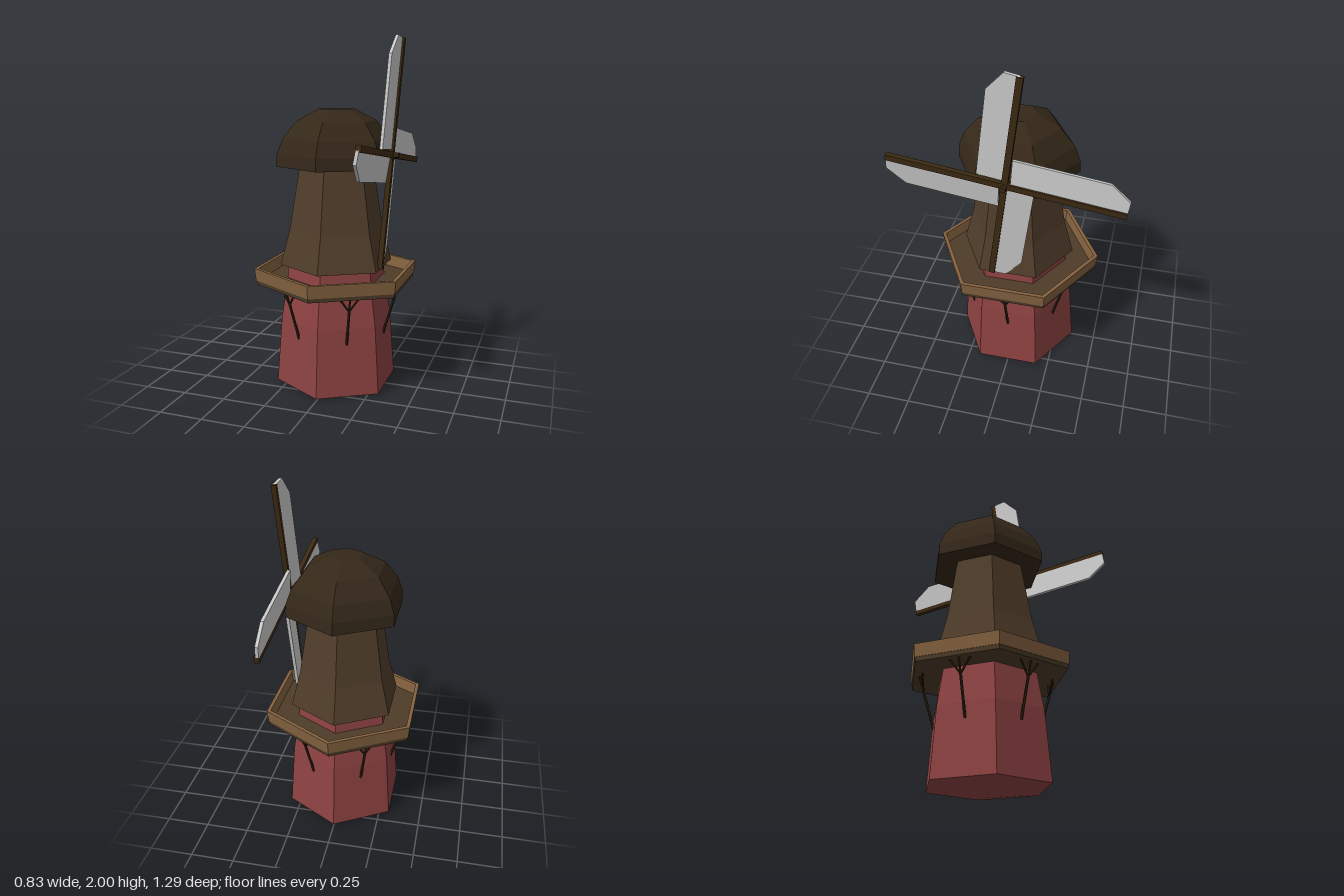
import * as THREE from 'three';

const mat = (color) => new THREE.MeshStandardMaterial({ color, flatShading: true });
const RED = mat(0x8e4242), TOWER = mat(0x503d2a), CAP = mat(0x352819), RIM = mat(0x84623f);
const FLOOR = mat(0x4d3c28), SPAR = mat(0x3d2a12), STRUT = mat(0x2c2010), SAIL = mat(0xcccccc);

function add(parent, name, geometry, material) {
  const mesh = new THREE.Mesh(geometry, material);
  mesh.name = name;
  parent.add(mesh);
  return mesh;
}

// six-sided solid from [radius, height] pairs, corners on the z axis
const hexLathe = (pts) => new THREE.LatheGeometry(pts.map(([r, y]) => new THREE.Vector2(r, y)), 6);

// thin rod between two points
function rod(parent, name, a, b, radius, material) {
  const from = new THREE.Vector3(...a), to = new THREE.Vector3(...b);
  const dir = to.clone().sub(from);
  const mesh = add(parent, name, new THREE.CylinderGeometry(radius, radius, dir.length(), 5), material);
  mesh.position.copy(from).add(to).multiplyScalar(0.5);
  mesh.quaternion.setFromUnitVectors(new THREE.Vector3(0, 1, 0), dir.normalize());
  return mesh;
}

// forked support standing on the middle of a wall face (facing +z)
function createStrut() {
  const strut = new THREE.Group();
  strut.name = 'balconyStrut';
  rod(strut, 'strutPost', [0, 0.31, 0.285], [0, 0.53, 0.35], 0.008, STRUT);
  rod(strut, 'strutTop', [0, 0.53, 0.35], [0, 0.61, 0.375], 0.006, STRUT);
  for (const side of [-1, 1]) {
    rod(strut, 'strutBranch', [0, 0.525, 0.348], [side * 0.06, 0.61, 0.36], 0.006, STRUT);
  }
  return strut;
}

// one blade pointing up: spar plus slightly pitched sail on its left
function createBlade() {
  const blade = new THREE.Group();
  blade.name = 'blade';
  const spar = add(blade, 'spar', new THREE.BoxGeometry(0.034, 0.642, 0.028), SPAR);
  spar.position.y = 0.321;
  const outline = new THREE.Shape([
    [0, 0.03], [0, 0.642], [-0.08, 0.642], [-0.158, 0.53], [-0.158, 0.02],
  ].map(([x, y]) => new THREE.Vector2(x, y)));
  const geometry = new THREE.ExtrudeGeometry(outline, { depth: 0.018, bevelEnabled: false });
  geometry.translate(0, 0, -0.013);
  const sail = add(blade, 'sail', geometry, SAIL);
  sail.rotation.y = -0.1;
  return blade;
}

export function createModel() {
  const model = new THREE.Group();
  model.name = 'windmill';

  // tower
  add(model, 'lowerTower', hexLathe([
    [0, 0], [0.25, 0.004], [0.357, 0.012], [0.327, 0.4], [0.292, 0.61], [0.28, 0.74], [0, 0.74],
  ]), RED);
  add(model, 'upperTower', hexLathe([
    [0, 0.715], [0.33, 0.715], [0.275, 0.92], [0.212, 1.3], [0, 1.3],
  ]), TOWER);
  add(model, 'cap', hexLathe([
    [0, 1.285], [0.346, 1.285], [0.343, 1.355], [0.31, 1.44], [0.232, 1.538], [0.104, 1.605], [0, 1.605],
  ]), CAP);

  // balcony
  add(model, 'balconyFloor', hexLathe([[0, 0.605], [0.468, 0.605], [0.472, 0.635], [0, 0.635]]), FLOOR);
  add(model, 'balconyRim', hexLathe([
    [0.445, 0.628], [0.474, 0.628], [0.482, 0.7], [0.458, 0.7], [0.445, 0.628],
  ]), RIM);
  for (let i = 0; i < 6; i++) {
    const strut = createStrut();
    strut.rotation.y = Math.PI / 6 + i * Math.PI / 3;
    model.add(strut);
  }

  // rotor on the left side, leaning slightly outward at the top
  const rotor = new THREE.Group();
  rotor.name = 'rotor';
  rotor.position.set(0.32, 1.355, 0);
  rotor.rotation.z = -0.05;
  const wheel = new THREE.Group();
  wheel.name = 'sailWheel';
  wheel.rotation.y = Math.PI / 2;
  rotor.add(wheel);
  for (let i = 0; i < 4; i++) {
    const blade = createBlade();
    blade.rotation.z = -0.14 + i * Math.PI / 2;
    wheel.add(blade);
  }
  const shaft = add(wheel, 'shaft', new THREE.CylinderGeometry(0.016, 0.016, 0.16, 6), SPAR);
  shaft.rotation.x = Math.PI / 2;
  shaft.position.z = -0.035;
  model.add(rotor);

  return model;
}
